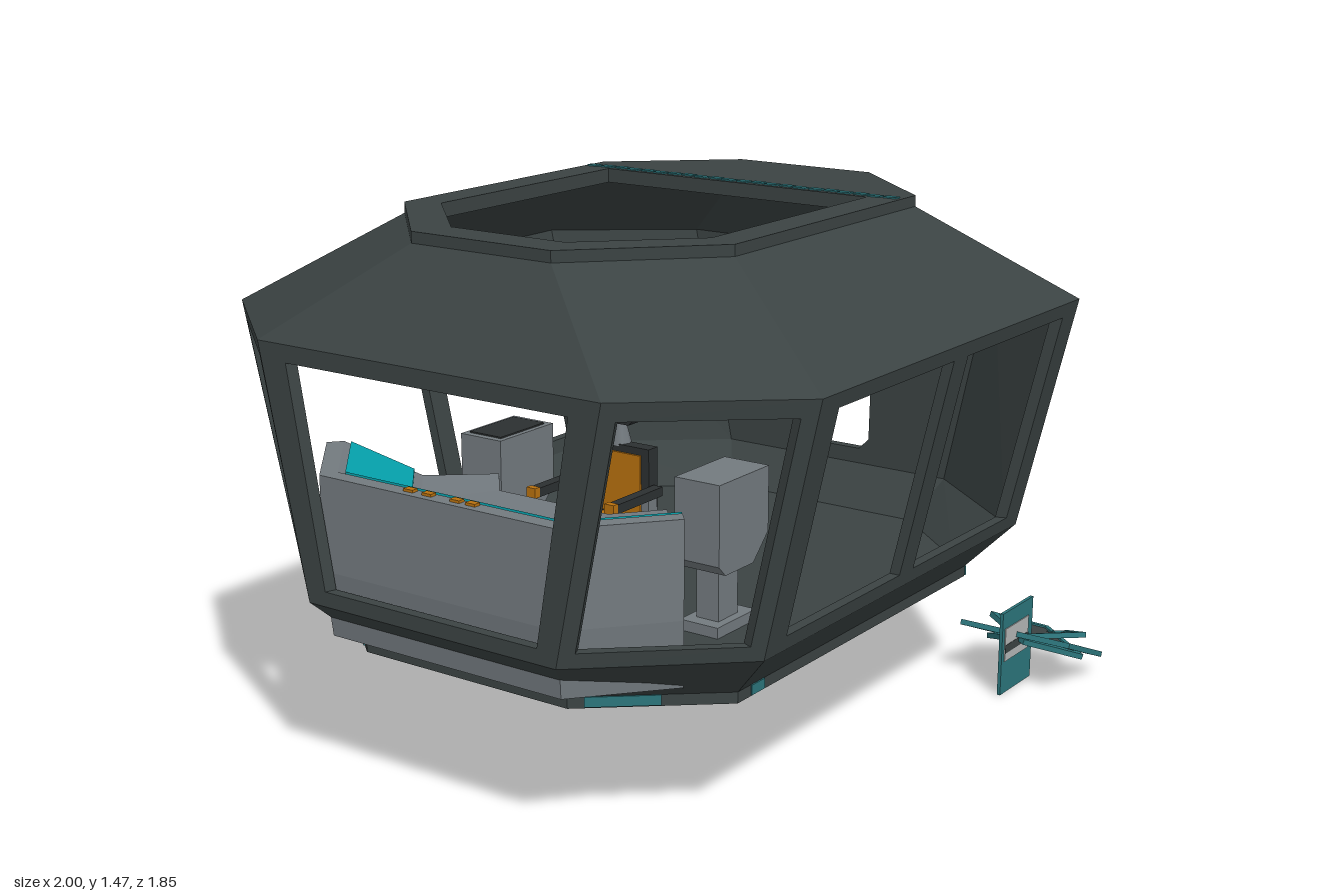
import * as THREE from 'three';

const mat = (name, color, extra = {}) => Object.assign(new THREE.MeshStandardMaterial({ color, ...extra }), { name });

export function createModel() {
  const model = new THREE.Group();
  model.name = 'cabin';
  const hull = mat('hull grey', 0x3b4343);
  const dark = mat('dark grey', 0x2c3031);
  const grey = mat('console grey', 0x737a7f);
  const teal = mat('trim teal', 0x2c757b);
  const cyan = mat('screen cyan', 0x05a3ad);
  const orange = mat('seat orange', 0xb8710f);
  const pale = mat('pale grey', 0xb4b6b6);

  const add = (parent, name, geo, material) => {
    const m = new THREE.Mesh(geo, material);
    m.name = name;
    parent.add(m);
    return m;
  };
  const box = (parent, name, material, [x0, x1], [y0, y1], [z0, z1]) => {
    const m = add(parent, name, new THREE.BoxGeometry(x1 - x0, y1 - y0, z1 - z0), material);
    m.position.set((x0 + x1) / 2, (y0 + y1) / 2, (z0 + z1) / 2);
    return m;
  };
  const shapeOf = (pts) => new THREE.Shape(pts.map((p) => new THREE.Vector2(...p)));
  const rect = (u0, u1, v0, v1) => [[u0, v0], [u1, v0], [u1, v1], [u0, v1]];

  // Extrude a flat outline by one unit, then move every vertex by a rule.
  const warp = (outline, holes, rule) => {
    const s = shapeOf(outline);
    holes.forEach((h) => s.holes.push(shapeOf(h)));
    const g = new THREE.ExtrudeGeometry(s, { depth: 1, bevelEnabled: false });
    const p = g.attributes.position;
    for (let i = 0; i < p.count; i++) {
      const v = rule(p.getX(i), p.getY(i), p.getZ(i));
      p.setXYZ(i, v.x, v.y, v.z);
    }
    g.computeVertexNormals();
    return g;
  };
  const mix = (a, b, t) => a.clone().lerp(b, t);

  // Eight-sided ring: x ends, corner x, corner z, half depth; grown by d.
  const ring = (y, xl, xr, cl, cr, zs, zf, d = 0) => [
    [cl - d * 0.4, zf + d], [cr + d * 0.4, zf + d], [xr + d, zs + d * 0.4], [xr + d, -zs - d * 0.4],
    [cr + d * 0.4, -zf - d], [cl - d * 0.4, -zf - d], [xl - d, -zs - d * 0.4], [xl - d, zs + d * 0.4],
  ].map(([x, z]) => new THREE.Vector3(x, y, z));
  const levels = {
    base: [0.36, -0.87, 0.85, -0.6, 0.57, 0.33, 0.65],
    foot: [0.39, -0.87, 0.85, -0.6, 0.57, 0.33, 0.65],
    sill: [0.52, -1, 0.947, -0.67, 0.64, 0.4, 0.77],
    eave: [1.19, -1, 0.947, -0.68, 0.65, 0.54, 0.925],
    roof: [1.435, -0.77, 0.71, -0.45, 0.43, 0.22, 0.53],
  };
  const panel = (lo, hi, i, outline, holes, dOut = 0, dIn = -0.03) => {
    const rings = [dIn, dOut].map((d) => [ring(...levels[lo], d), ring(...levels[hi], d)]);
    const j = (i + 1) % 8;
    return warp(outline, holes, (u, v, w) => {
      const [a, b] = rings.map(([l, h]) => mix(mix(l[i], l[j], u), mix(h[i], h[j], u), v));
      return mix(a, b, w);
    });
  };
  const unit = rect(0, 1, 0, 1);

  // Walls with windows and a door
  const pair = [rect(0.065, 0.48, 0.06, 0.94), rect(0.535, 0.94, 0.06, 0.94)];
  const door = [[0.35, 0.12], [0.39, 0.07], [0.61, 0.07], [0.65, 0.12],
    [0.626, 0.9], [0.57, 0.925], [0.43, 0.925], [0.374, 0.9]];
  const single = [rect(0.08, 0.92, 0.06, 0.93)];
  const wallHoles = [pair, [], [door], [], pair, single, single, single];
  const wallNames = ['frontWall', 'frontLeftCorner', 'doorWall', 'backLeftCorner',
    'backWall', 'backRightWindow', 'endWindow', 'frontRightWindow'];
  wallHoles.forEach((holes, i) => {
    add(model, wallNames[i], panel('sill', 'eave', i, unit, holes), hull);
    add(model, 'lowerBevel', panel('foot', 'sill', i, unit, []), hull);
    add(model, 'roofSlope', panel('eave', 'roof', i, unit, []), hull);
  });

  // Flat slabs: floor and roof rim with its opening
  const slab = (pts, holes, y0, y1) => warp(pts.map((p) => [p.x, -p.z]), holes,
    (x, y, w) => new THREE.Vector3(x, y0 + (y1 - y0) * w, -y));
  add(model, 'floor', slab(ring(...levels.base), [], 0.36, 0.4), hull);
  const skylight = [[-0.41, -0.435], [0.33, -0.435], [0.33, 0.435], [-0.41, 0.435], [-0.665, 0.18], [-0.665, -0.18]];
  add(model, 'roofRim', slab(ring(...levels.roof), [skylight], 1.425, 1.465), hull);

  // Broken teal line across the roof
  for (let k = 0; k < 22; k++) {
    const z = -0.52 + k * 0.0475, s = ((k * 7) % 5) * 0.002;
    box(model, 'roofStripe', teal, [0.34 + s, 0.362 + s], [1.462, 1.469], [z, z + 0.04]);
  }
  // Teal patches on the base edge
  [[1, 0, 0.95], [2, 0, 0.17], [2, 0.72, 1], [3, 0.1, 0.3], [5, 0.5, 0.9], [7, 0.1, 0.55], [0, 0.05, 0.1]].forEach(([i, u0, u1]) =>
    add(model, 'baseTrim', panel('base', 'foot', i, rect(u0, u1, 0.1, 1), [], 0.004, -0.003), teal));

  // Wrap-around control console, lofted through outer and inner stations
  const outer = [[-0.73, -0.58], [-0.965, -0.38], [-0.965, 0.38], [-0.73, 0.58]];
  const inner = [[-0.38, -0.28], [-0.5, -0.18], [-0.5, 0.18], [-0.38, 0.28]];
  const sweep = (profile, i) => warp(profile, [], (t, y, w) => {
    const at = (k, n) => outer[k][n] + (inner[k][n] - outer[k][n]) * t;
    return new THREE.Vector3(at(i, 0) + (at(i + 1, 0) - at(i, 0)) * w, y, at(i, 1) + (at(i + 1, 1) - at(i, 1)) * w);
  });
  const desk = [[0, 0.6], [0.04, 0.42], [0.4, 0.42], [0.5, 0.6], [0.6, 0.695], [1, 0.71],
    [1, 0.735], [0.55, 0.745], [0.1, 0.855], [0, 0.855]];
  const screen = [[0.14, 0.846], [0.5, 0.758], [0.5, 0.765], [0.14, 0.853]];
  for (let i = 0; i < 3; i++) {
    add(model, 'console', sweep(desk, i), grey);
    add(model, 'consoleScreen', sweep(screen, i), cyan);
  }
  [-0.1, -0.04, 0.05, 0.1].forEach((z) =>
    box(model, 'consoleButton', orange, [-0.945, -0.925], [0.853, 0.862], [z - 0.015, z + 0.015]));

  // Pilot chair facing the console
  const chair = new THREE.Group();
  chair.name = 'chair';
  model.add(chair);
  box(chair, 'seatBase', dark, [-0.42, -0.2], [0.57, 0.62], [-0.11, 0.11]);
  box(chair, 'seatCushion', orange, [-0.415, -0.21], [0.62, 0.635], [-0.1, 0.1]);
  add(chair, 'backrest', warp([[-0.08, 0.58], [0.08, 0.58], [0.11, 0.64], [0.11, 0.83], [-0.11, 0.83], [-0.11, 0.64]], [],
    (x, y, w) => new THREE.Vector3(-0.225 + w * 0.04, y, -x)), dark);
  box(chair, 'backCushion', orange, [-0.231, -0.224], [0.64, 0.81], [-0.085, 0.085]);
  for (const s of [-1, 1]) {
    const z = [s * 0.13 - 0.015, s * 0.13 + 0.015];
    box(chair, 'armrest', dark, [-0.41, -0.21], [0.705, 0.73], z);
    box(chair, 'armrestTip', orange, [-0.43, -0.41], [0.705, 0.733], z);
    box(chair, 'armSupport', grey, [-0.25, -0.21], [0.62, 0.705], [s * 0.115 - 0.012, s * 0.115 + 0.012]);
  }
  add(chair, 'headrestPost', new THREE.CylinderGeometry(0.012, 0.03, 0.07, 8), grey).position.set(-0.2, 0.86, 0);
  add(chair, 'headrest', warp([[-0.05, 0.89], [0.05, 0.89], [0.075, 0.915], [0.075, 0.975], [-0.075, 0.975], [-0.075, 0.915]], [],
    (x, y, w) => new THREE.Vector3(-0.235 + w * 0.05, y, -x)), dark);
  add(chair, 'pedestal', new THREE.CylinderGeometry(0.035, 0.08, 0.18, 8), grey).position.set(-0.3, 0.48, 0);

  // Side cabinets on narrow stands
  const cabinet = [[-0.36, 0.6], [-0.33, 0.57], [-0.2, 0.57], [-0.13, 0.64], [-0.13, 0.82], [-0.36, 0.82]];
  for (const s of [-1, 1]) {
    const c = s * 0.36;
    add(model, 'sideCabinet', warp(cabinet, [], (x, y, w) => new THREE.Vector3(x, y, c - 0.07 + w * 0.14)), grey);
    box(model, 'cabinetStand', grey, [-0.31, -0.22], [0.43, 0.58], [c - 0.035, c + 0.035]);
    box(model, 'cabinetFoot', grey, [-0.35, -0.17], [0.4, 0.43], [c - 0.06, c + 0.06]);
    if (s < 0) box(model, 'cabinetTop', dark, [-0.34, -0.15], [0.818, 0.824], [c - 0.055, c + 0.055]);
  }

  // Loose framed panels beside the cabin
  const loose = new THREE.Group();
  loose.name = 'loosePanels';
  model.add(loose);
  const framed = (x, y, z, w, d, turn, tilt) => {
    const g = new THREE.Group();
    g.name = 'framedPanel';
    g.position.set(x, y, z);
    g.rotation.set(0, turn, tilt);
    box(g, 'panelCore', hull, [-w / 2 + 0.02, w / 2 - 0.02], [-0.003, 0.003], [-d / 2 + 0.02, d / 2 - 0.02]);
    for (const s of [-1, 1]) {
      box(g, 'panelEdge', teal, [-w / 2, w / 2], [-0.008, 0.008], [s * (d / 2 - 0.01) - 0.01, s * (d / 2 - 0.01) + 0.01]);
      const x0 = s * (w / 2 - 0.01);
      box(g, 'panelEnd', teal, [x0 - 0.01, x0 + 0.01], [-0.008, 0.008], [-d / 2 + 0.02, d / 2 - 0.02]);
    }
    loose.add(g);
  };
  framed(0.82, 0.115, 0.75, 0.25, 0.35, 0, -0.4);
  framed(0.85, 0.115, 0.75, 0.2, 0.25, -0.7, -0.33);
  framed(0.85, 0.115, 0.75, 0.2, 0.25, 0.7, -0.33);
  box(loose, 'uprightPanel', teal, [0.62, 0.81], [0, 0.25], [0.745, 0.755]);
  box(loose, 'uprightInset', pale, [0.635, 0.78], [0.1, 0.2], [0.742, 0.758]);
  box(loose, 'uprightSlot', hull, [0.635, 0.78], [0.125, 0.15], [0.741, 0.759]);

  return model;
}
